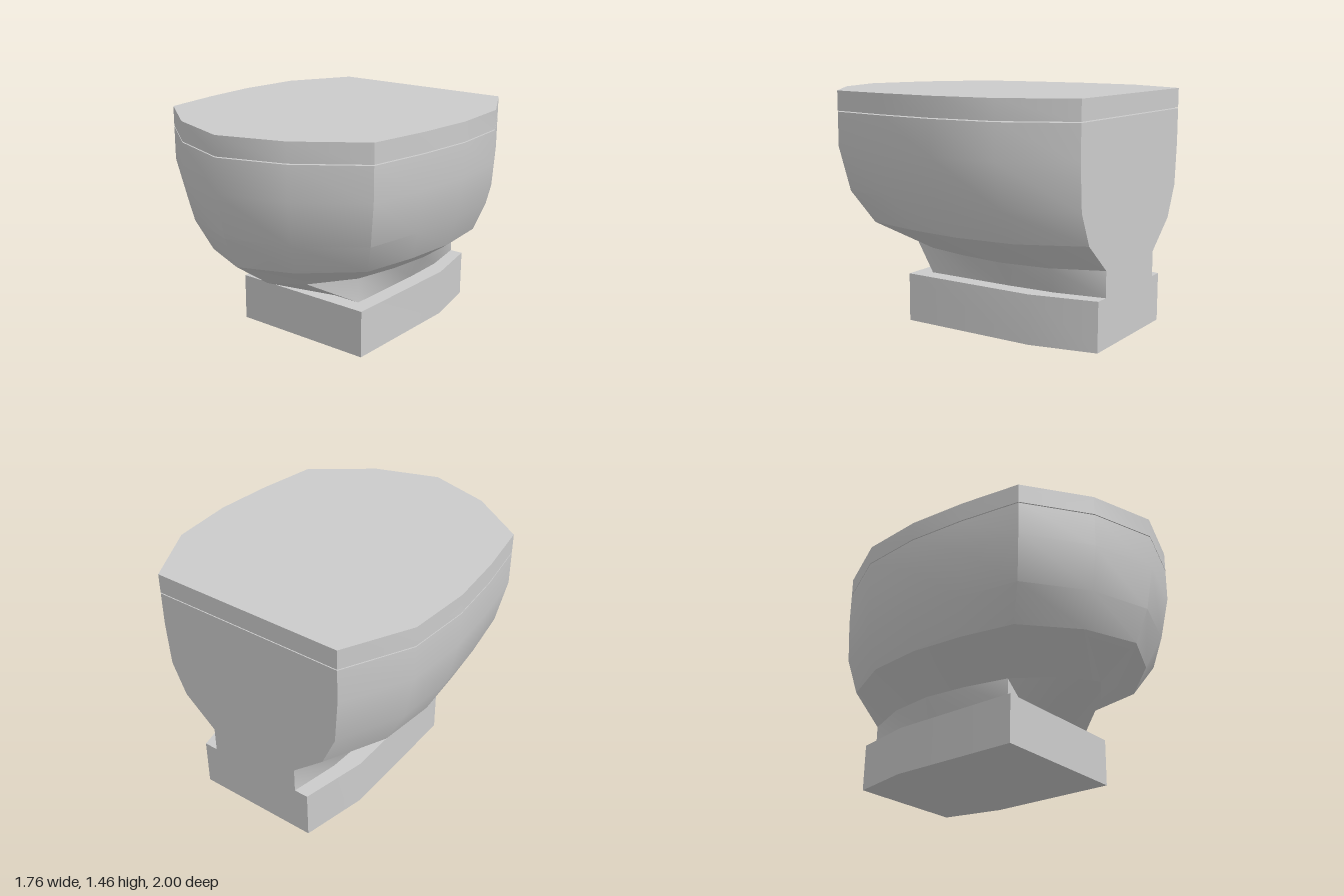
import * as THREE from 'three';
import { toCreasedNormals } from 'three/addons/utils/BufferGeometryUtils.js';

const material = new THREE.MeshStandardMaterial({ color: 0xcccccc });

// Mirrors a half outline of [x, z] points (back to front) into a closed ring at height y.
// The halves share a point when the outline ends on the centre line.
function ring(half, y) {
  const mirrored = half.filter(([x]) => x > 0).reverse().map(([x, z]) => [-x, z]);
  return [...half, ...mirrored].map(([x, z]) => [x, y, z]);
}

// Half outline with five side points, a front corner, and a rounded nose.
function outline(sides, cornerZ, noseZ) {
  const half = sides.map((x, i) => [x, -1 + (cornerZ + 1) * [0, 0.258, 0.516, 0.755, 1][i]]);
  half.push([sides[4] * 0.52, cornerZ + (noseZ - cornerZ) * 0.675], [0, noseZ]);
  return half;
}

// Joins rings from bottom to top, with flat caps where asked.
function loft(name, rings, bottomCap, topCap) {
  const pos = [];
  const n = rings[0].length;
  const tri = (a, b, c) => pos.push(...a, ...b, ...c);
  for (let k = 0; k < rings.length - 1; k++) {
    const low = rings[k], up = rings[k + 1];
    for (let i = 0; i < n; i++) {
      const j = (i + 1) % n;
      tri(low[i], up[i], up[j]);
      tri(low[i], up[j], low[j]);
    }
  }
  const top = rings[rings.length - 1], bottom = rings[0];
  for (let j = 1; j < n - 1; j++) {
    if (topCap) tri(top[0], top[j + 1], top[j]);
    if (bottomCap) tri(bottom[0], bottom[j], bottom[j + 1]);
  }
  const geometry = new THREE.BufferGeometry();
  geometry.setAttribute('position', new THREE.Float32BufferAttribute(pos, 3));
  const mesh = new THREE.Mesh(toCreasedNormals(geometry, THREE.MathUtils.degToRad(38)), material);
  mesh.name = name;
  return mesh;
}

export function createModel() {
  const model = new THREE.Group();
  model.name = 'toilet';

  // Outlines from the rim down to the foot of the neck
  const rim = outline([0.63, 0.845, 0.88, 0.85, 0.79], 0.59, 1);
  const belly = outline([0.61, 0.8, 0.83, 0.8, 0.74], 0.545, 0.95);
  const shoulder = outline([0.52, 0.7, 0.74, 0.71, 0.64], 0.44, 0.86);
  const neckTop = outline([0.31, 0.44, 0.48, 0.45, 0.385], 0.19, 0.6);
  const neckFoot = outline([0.31, 0.37, 0.385, 0.385, 0.385], 0.19, 0.19);
  const plinth = [[0.4, -1], [0.49, -0.59], [0.49, 0.295]];

  model.add(
    loft('base', [ring(plinth, 0), ring(plinth, 0.305)], true, true),
    loft('neck', [ring(neckFoot, 0.305), ring(neckTop, 0.465)], false, false),
    loft('bowlUnderside', [ring(neckTop, 0.465), ring(shoulder, 0.645)], false, false),
    loft('bowl', [ring(shoulder, 0.645), ring(belly, 0.845), ring(rim, 1.12), ring(rim, 1.332)], false, true),
    loft('lid', [ring(rim, 1.338), ring(rim, 1.46)], true, true),
  );
  return model;
}
